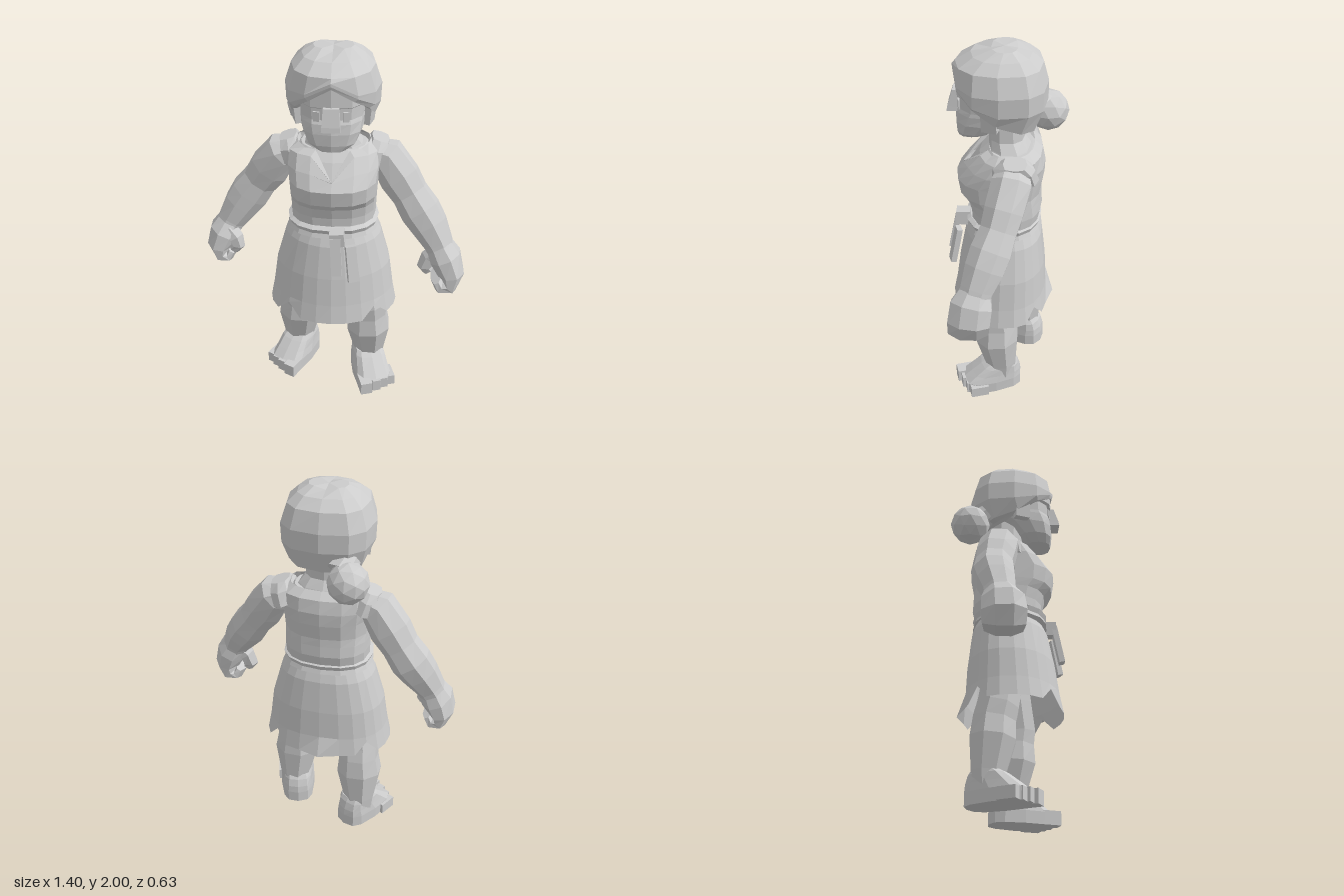
import * as THREE from 'three';

const clay = new THREE.MeshStandardMaterial({ color: 0xcccccc, flatShading: true, side: THREE.DoubleSide });
clay.name = 'light grey';

// Joins rings of points into a skin, with optional end caps
function skin(rings, capStart = true, capEnd = true) {
  const n = rings[0].length, pos = [], idx = [];
  rings.forEach(r => r.forEach(p => pos.push(p.x, p.y, p.z)));
  for (let j = 0; j < rings.length - 1; j++) {
    for (let i = 0; i < n; i++) {
      const a = j * n + i, b = j * n + (i + 1) % n;
      idx.push(a, b, b + n, a, b + n, a + n);
    }
  }
  const cap = (j, flip) => {
    const c = new THREE.Vector3();
    rings[j].forEach(p => c.addScaledVector(p, 1 / n));
    const k = pos.length / 3;
    pos.push(c.x, c.y, c.z);
    for (let i = 0; i < n; i++) {
      const a = j * n + i, b = j * n + (i + 1) % n;
      flip ? idx.push(k, b, a) : idx.push(k, a, b);
    }
  };
  if (capStart) cap(0, true);
  if (capEnd) cap(rings.length - 1, false);
  const g = new THREE.BufferGeometry();
  g.setAttribute('position', new THREE.Float32BufferAttribute(pos, 3));
  g.setIndex(idx);
  g.computeVertexNormals();
  return g;
}

const soft = (v, p) => Math.sign(v) * Math.pow(Math.abs(v), p);

// Stacked ovals, bottom to top; each row is [y, half width, front z, back z].
// p below 1 squares the outline; front sets it for the front half alone
function ovals(rows, n, { p = 0.85, front = p, tweak, bottom = true, top = true } = {}) {
  return skin(rows.map(([y, rx, zf, zb], j) => Array.from({ length: n }, (_, i) => {
    const a = i / n * Math.PI * 2, q = Math.cos(a) > 0 ? front : p;
    const v = new THREE.Vector3(rx * soft(Math.sin(a), q), y, (zf + zb) / 2 + (zf - zb) / 2 * soft(Math.cos(a), q));
    if (tweak) tweak(v, j, i);
    return v;
  })), bottom, top);
}

// Limb along a path; each station is [x, y, z, radius toward z, radius across]
function limb(stations, n = 8) {
  const c = stations.map(s => new THREE.Vector3(s[0], s[1], s[2]));
  return skin(stations.map((s, j) => {
    const w = c[Math.min(j + 1, c.length - 1)].clone().sub(c[Math.max(j - 1, 0)]).normalize();
    const u = new THREE.Vector3(0, 0, 1).addScaledVector(w, -w.z).normalize();
    const v = w.clone().cross(u);
    return Array.from({ length: n }, (_, i) => {
      const a = (i + 0.5) / n * Math.PI * 2;
      return c[j].clone().addScaledVector(u, s[3] * Math.cos(a)).addScaledVector(v, s[4] * Math.sin(a));
    });
  }));
}

export function createModel() {
  const model = new THREE.Group();
  model.name = 'woman';
  const add = (name, geo, parent = model, at = [0, 0, 0], rot = [0, 0, 0]) => {
    const m = new THREE.Mesh(geo, clay);
    m.name = name;
    m.position.set(...at);
    m.rotation.set(...rot);
    parent.add(m);
  };
  const group = (name, parent = model) => {
    const g = new THREE.Group();
    g.name = name;
    parent.add(g);
    return g;
  };
  const box = (w, h, d) => new THREE.BoxGeometry(w, h, d);

  // Neck, and a head with a recessed eye band under the brow
  add('neck', ovals([[1.4, 0.21, 0.11, -0.16], [1.475, 0.15, 0.085, -0.13], [1.52, 0.115, 0.085, -0.1], [1.68, 0.1, 0.09, -0.1]], 10));
  add('head', ovals([[1.535, 0.075, 0.24, 0.1], [1.57, 0.125, 0.248, 0.05], [1.63, 0.153, 0.25, -0.02], [1.68, 0.163, 0.245, -0.1],
    [1.7, 0.163, 0.234, -0.1], [1.76, 0.168, 0.234, -0.12], [1.77, 0.172, 0.25, -0.12], [1.9, 0.17, 0.245, -0.12]], 12, { p: 0.78 }));
  add('nose', skin([[1.665, 0.046, 0.292], [1.69, 0.044, 0.288], [1.775, 0.038, 0.262]].map(([y, w, z]) =>
    [[w, z], [w, 0.2], [-w, 0.2], [-w, z]].map(([x, d]) => new THREE.Vector3(x, y, d)))));
  for (const s of [1, -1]) {
    add('eye', box(0.03, 0.05, 0.009), model, [s * 0.072, 1.72, 0.227], [0, s * 0.2, 0]);
    add('ear', box(0.045, 0.13, 0.08), model, [s * 0.178, 1.69, 0.07], [0, s * -0.3, s * -0.1]);
  }

  // Swept hair: the lower rim peaks over the brow and falls to the nape
  const rim = [1.87, 1.8, 1.74, 1.66, 1.615, 1.605, 1.6];
  add('hair', ovals([[1.6, 0.16, 0.2, -0.13], [1.6, 0.205, 0.257, -0.165], [1.72, 0.234, 0.262, -0.21], [1.82, 0.238, 0.262, -0.212],
    [1.92, 0.205, 0.247, -0.185], [1.967, 0.155, 0.17, -0.13], [1.998, 0.1, 0.07, -0.06]], 12, {
    p: 0.72, front: 0.9,
    tweak: (v, j, i) => {
      const low = rim[Math.min(i, 12 - i)];
      if (j < 2) v.y = low;
      else if (j < 4) v.y = Math.max(v.y, low + (j - 1) * 0.016);
      if (j === 6 && i % 6 === 0) v.y -= 0.012;
    },
  }));
  add('hairBun', new THREE.IcosahedronGeometry(0.108, 1), model, [-0.15, 1.585, -0.215]);
  add('hairTie', new THREE.CylinderGeometry(0.06, 0.08, 0.09, 8), model, [-0.12, 1.645, -0.15], [0.9, 0, 0.3]);

  // Sleeveless top over the chest, with a slit at the neckline
  add('chest', ovals([[1.2, 0.2, 0.16, -0.15], [1.32, 0.21, 0.205, -0.17], [1.42, 0.22, 0.135, -0.17], [1.47, 0.17, 0.085, -0.14]], 16));
  add('top', ovals([[1.02, 0.222, 0.18, -0.17], [1.12, 0.226, 0.185, -0.192], [1.18, 0.228, 0.2, -0.188], [1.225, 0.23, 0.24, -0.187],
    [1.31, 0.235, 0.254, -0.202], [1.38, 0.245, 0.2, -0.205], [1.45, 0.24, 0.135, -0.19], [1.485, 0.19, 0.095, -0.15]], 16, {
    p: 0.82, bottom: false, top: false,
    tweak: (v, j, i) => {
      if (i === 0 && j > 4) { v.y = 1.35 + (j - 5) * 0.002; v.z = 0.222; }
      if (j === 7 && (i < 3 || i > 13) && i !== 0) v.y -= 0.015;
    },
  }));
  for (const s of [1, -1]) {
    add('shoulderStrap', ovals([[-0.04, 0.056, 0.12, -0.13], [0.03, 0.056, 0.1, -0.11], [0.07, 0.048, 0.05, -0.07]], 8, { p: 0.6 }),
      model, [s * 0.22, 1.415, -0.045], [0, 0, s * -0.3]);
  }

  // Belt with a knot and two hanging tails
  add('belt', ovals([[1.0, 0.225, 0.19, -0.17], [1.012, 0.242, 0.21, -0.19], [1.035, 0.232, 0.2, -0.18], [1.06, 0.242, 0.21, -0.19], [1.072, 0.22, 0.19, -0.17]], 16));
  add('beltKnot', box(0.075, 0.075, 0.075), model, [0.03, 1.035, 0.225], [0, 0, 0.1]);
  add('beltTail', box(0.055, 0.21, 0.03), model, [0.025, 0.945, 0.272], [-0.2, 0, 0.05]);
  add('beltTail', box(0.055, 0.2, 0.03), model, [0.108, 0.9, 0.265], [-0.22, 0.3, 0.1]);

  // Skirt with a torn hem
  add('skirt', ovals([[0.515, 0.35, 0.292, -0.235], [0.62, 0.33, 0.272, -0.222], [0.78, 0.308, 0.25, -0.215], [0.96, 0.257, 0.215, -0.195], [1.03, 0.222, 0.185, -0.17]], 24, {
    p: 0.82, front: 1.05, bottom: false, top: false,
    tweak: (v, j, i) => {
      if (j > 0) return;
      if (i % 6 === 3) { v.y += 0.075; v.x *= 0.96; v.z *= 0.96; }
      if (i === 12) v.z -= 0.03;
    },
  }));

  // Arms with heavy forearms, closed fists and thumbs
  const left = group('leftArm'), right = group('rightArm');
  add('arm', limb([[0.18, 1.42, -0.045, 0.08, 0.06], [0.27, 1.385, -0.04, 0.108, 0.1], [0.345, 1.275, -0.005, 0.105, 0.112], [0.4, 1.195, 0.02, 0.098, 0.1],
    [0.46, 1.11, 0.055, 0.11, 0.11], [0.51, 1.04, 0.085, 0.105, 0.1], [0.56, 0.955, 0.12, 0.088, 0.08], [0.575, 0.92, 0.13, 0.085, 0.075]]), left);
  add('fist', limb([[0.555, 0.96, 0.12, 0.075, 0.07], [0.6, 0.885, 0.145, 0.112, 0.088], [0.632, 0.8, 0.158, 0.114, 0.075],
    [0.622, 0.74, 0.162, 0.11, 0.055], [0.575, 0.735, 0.162, 0.1, 0.042], [0.555, 0.775, 0.162, 0.09, 0.032]]), left);
  add('thumb', limb([[0.57, 0.91, 0.13, 0.05, 0.055], [0.515, 0.865, 0.125, 0.05, 0.048], [0.495, 0.81, 0.13, 0.045, 0.042], [0.515, 0.78, 0.13, 0.03, 0.03]], 6), left);
  add('arm', limb([[-0.18, 1.42, -0.05, 0.08, 0.06], [-0.27, 1.385, -0.06, 0.108, 0.1], [-0.345, 1.275, -0.08, 0.108, 0.112], [-0.4, 1.195, -0.09, 0.1, 0.1],
    [-0.46, 1.11, -0.095, 0.108, 0.11], [-0.51, 1.04, -0.085, 0.1, 0.1], [-0.565, 0.955, -0.07, 0.085, 0.08], [-0.585, 0.92, -0.065, 0.085, 0.075]]), right);
  add('fist', limb([[-0.565, 0.96, -0.07, 0.075, 0.07], [-0.605, 0.885, -0.055, 0.112, 0.088], [-0.635, 0.81, -0.05, 0.118, 0.072],
    [-0.627, 0.76, -0.05, 0.112, 0.05], [-0.585, 0.752, -0.05, 0.1, 0.04], [-0.565, 0.79, -0.05, 0.09, 0.032]]), right);
  add('thumb', limb([[-0.58, 0.91, -0.02, 0.05, 0.055], [-0.54, 0.87, 0.0, 0.05, 0.046], [-0.53, 0.825, 0.005, 0.042, 0.04], [-0.555, 0.795, 0.005, 0.03, 0.03]], 6), right);

  // Legs and bare feet, the left one stepping forward
  for (const [side, s, z, knee, yaw] of [['left', 1, 0.03, 0.05, 0.28], ['right', -1, -0.095, -0.06, -0.5]]) {
    const leg = group(side + 'Leg');
    add('leg', limb([[s * 0.15, 0.9, 0, 0.11, 0.1], [s * 0.17, 0.65, knee * 0.6, 0.11, 0.11], [s * 0.193, 0.5, knee, 0.112, 0.112], [s * 0.195, 0.43, (z + knee) / 2, 0.115, 0.112],
      [s * 0.2, 0.33, z + 0.01, 0.122, 0.127], [s * 0.207, 0.16, z - 0.01, 0.09, 0.09], [s * 0.207, 0.08, z - 0.01, 0.08, 0.08]]), leg);
    const foot = group('foot', leg);
    foot.position.set(s * 0.2, 0, z);
    foot.rotation.y = yaw;
    add('sole', ovals([[0, 0.096, 0.21, -0.125], [0.065, 0.097, 0.21, -0.125], [0.105, 0.091, 0.16, -0.12], [0.148, 0.087, 0.105, -0.105], [0.17, 0.08, 0.07, -0.09]], 12, {
      p: 0.65,
      tweak: v => { v.x *= 1 + 0.7 * Math.max(v.z, -0.1); },
    }), foot);
    // Big toe sits on the inner side
    for (let i = 0; i < 4; i++) {
      const w = i ? 0.045 : 0.066, x = i ? 0.046 - i * 0.046 : 0.064;
      add('toe', box(w, 0.074 - i * 0.004, 0.1), foot, [-s * x, 0.037 - i * 0.002, 0.186 - i * 0.016]);
    }
  }
  return model;
}
